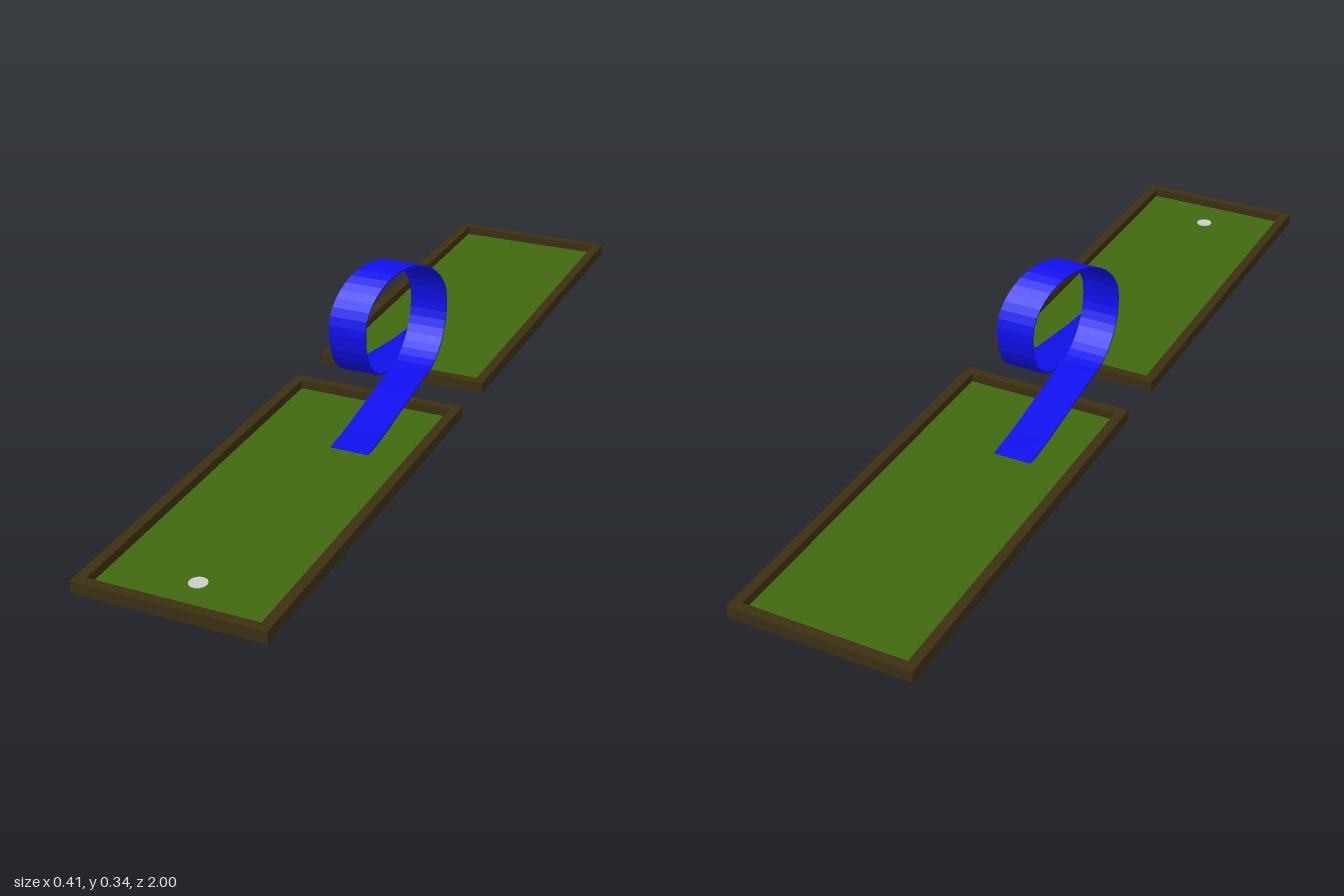
import * as THREE from 'three';

const mat = (color, extra = {}) => new THREE.MeshStandardMaterial({ color, ...extra });

function addMesh(parent, name, geometry, material) {
  const mesh = new THREE.Mesh(geometry, material);
  mesh.name = name;
  parent.add(mesh);
  return mesh;
}

// Closed rectangle of half sizes w, h
const rectangle = (Type, w, h) => new Type([[-w, -h], [w, -h], [w, h], [-w, h]].map(([x, y]) => new THREE.Vector2(x, y)));

// Ribbon of rectangular section swept along stations { x, y, z, ny, nz }
function ribbonGeometry(stations, width, thickness) {
  const pos = [], index = [];
  for (const s of stations) {
    for (const [a, b] of [[-1, -1], [1, -1], [1, 1], [-1, 1]]) {
      pos.push(s.x + a * width / 2, s.y + b * s.ny * thickness / 2, s.z + b * s.nz * thickness / 2);
    }
  }
  for (let i = 0; i < stations.length - 1; i++) {
    for (let k = 0; k < 4; k++) {
      const a = i * 4 + k, b = i * 4 + (k + 1) % 4;
      index.push(a, b, a + 4, b, b + 4, a + 4);
    }
  }
  const e = (stations.length - 1) * 4;
  index.push(0, 2, 1, 0, 3, 2, e, e + 1, e + 2, e, e + 2, e + 3);
  const g = new THREE.BufferGeometry();
  g.setAttribute('position', new THREE.Float32BufferAttribute(pos, 3));
  g.setIndex(index);
  const flat = g.toNonIndexed();
  flat.computeVertexNormals();
  return flat;
}

export function createModel() {
  const model = new THREE.Group();
  model.name = 'miniGolfLoopHole';
  const wood = mat(0x3d3012), turf = mat(0x41690f), grey = mat(0xcccccc);
  const blue = mat(0x1010ee, { flatShading: true, side: THREE.DoubleSide });

  // Two framed turf lanes with a gap between them
  const halfW = 0.2025, near = 0.063, halfL = (1 - near) / 2, rim = 0.022;
  for (const side of [1, -1]) {
    const lane = new THREE.Group();
    lane.name = side > 0 ? 'frontLane' : 'backLane';
    lane.position.z = side * (near + halfL);
    model.add(lane);

    const shape = rectangle(THREE.Shape, halfW, halfL);
    shape.holes.push(rectangle(THREE.Path, halfW - rim, halfL - rim));
    const frame = new THREE.ExtrudeGeometry(shape, { depth: 0.026, bevelEnabled: false });
    frame.rotateX(-Math.PI / 2);
    addMesh(lane, 'frame', frame, wood).position.y = 0.037;

    const floor = new THREE.BoxGeometry(2 * (halfW - rim), 0.003, 2 * (halfL - rim));
    addMesh(lane, 'turf', floor, turf).position.y = 0.0415;
  }

  // Cup let into the front lane
  addMesh(model, 'cup', new THREE.CylinderGeometry(0.019, 0.019, 0.044, 24), grey).position.set(0, 0.022, 0.885);

  // Loop track: ramp up, full turn drifting sideways over the top, ramp down
  const R = 0.128, cy = 0.215, shift = 0.044, turn = 40;
  const ramp = [[0.315, 0.042], [0.23, 0.05], [0.15, 0.063], [0.07, 0.076]];
  const stations = ramp.map(([z, y]) => ({ x: shift, y, z, ny: 0.988, nz: 0.155 }));
  for (let i = 0; i <= turn; i++) {
    const t = (i / turn) * Math.PI * 2;
    const y = cy - R * Math.cos(t), z = -R * Math.sin(t);
    const drift = THREE.MathUtils.clamp(-z / (R * Math.cos(Math.PI / 10)), -1, 1);
    const overTop = Math.cos(t) < -0.3;
    const x = shift * (overTop ? drift : i < turn / 2 ? 1 : -1);
    stations.push({ x, y, z, ny: Math.cos(t), nz: Math.sin(t) });
  }
  for (const [z, y] of [...ramp].reverse()) stations.push({ x: -shift, y, z: -z, ny: 0.988, nz: -0.155 });
  addMesh(model, 'loopTrack', ribbonGeometry(stations, 0.088, 0.004), blue);

  return model;
}
